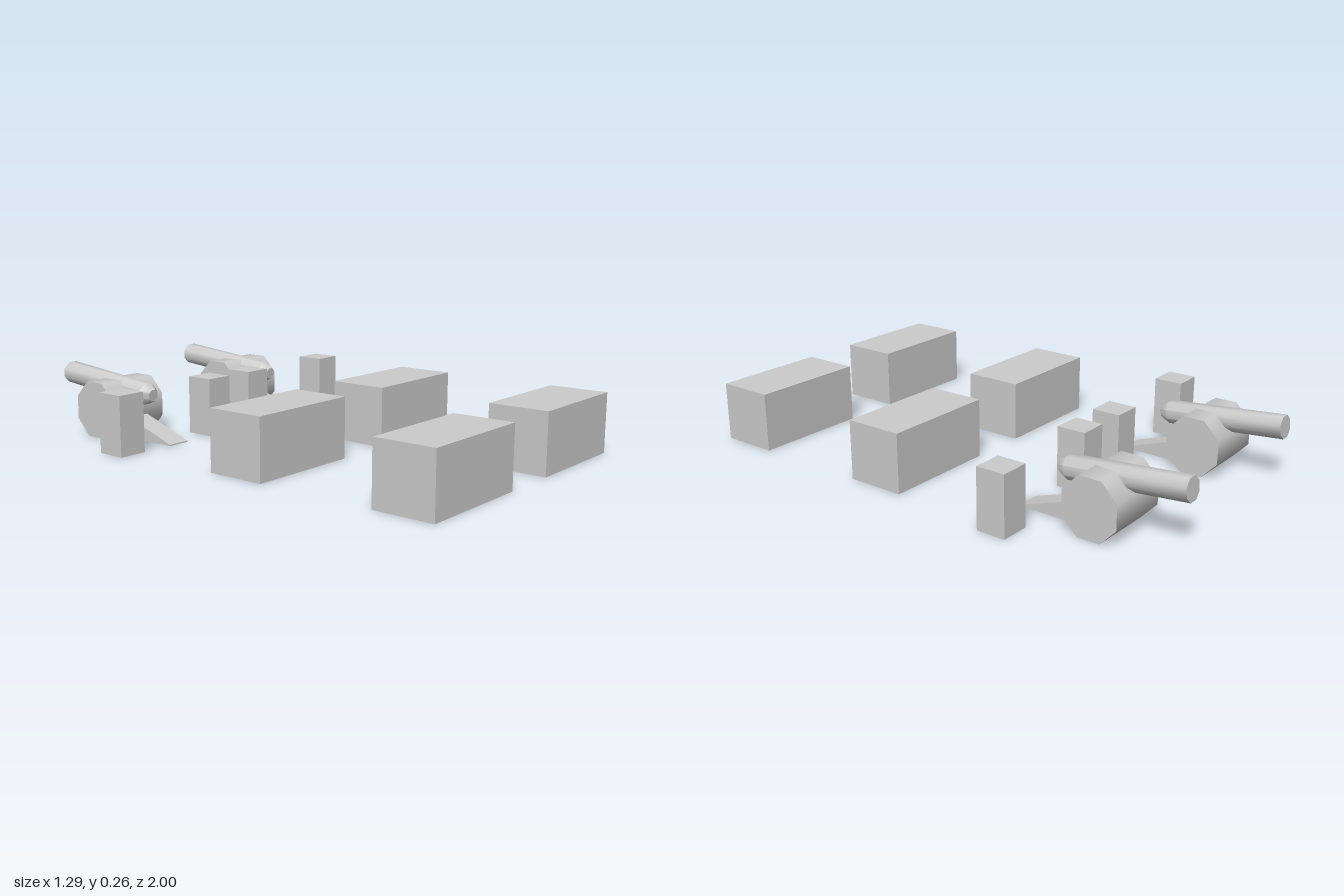
import * as THREE from 'three';
import { toCreasedNormals } from 'three/addons/utils/BufferGeometryUtils.js';

const material = new THREE.MeshStandardMaterial({ color: 0xcccccc });

function part(name, geometry, parent, x = 0, y = 0, z = 0) {
  const mesh = new THREE.Mesh(geometry, material);
  mesh.name = name;
  mesh.position.set(x, y, z);
  parent.add(mesh);
  return mesh;
}

// One cannon, centred on x = 0, barrel pointing to the back
function createCannon() {
  const cannon = new THREE.Group();
  cannon.name = 'cannon';

  // Octagonal drum standing on a flat side
  const drum = new THREE.CylinderGeometry(0.118, 0.118, 0.265, 8, 1, false, Math.PI / 8);
  drum.rotateZ(Math.PI / 2);
  drum.scale(1, 0.1125 / 0.109, 0.108 / 0.109);
  part('drum', drum, cannon, 0, 0.1125, -0.691);

  // Eight-sided barrel with a tapered breech
  const profile = [[0, 0], [0.025, 0], [0.046, 0.035], [0.046, 0.508], [0, 0.508]]
    .map(([r, y]) => new THREE.Vector2(r, y));
  const barrel = toCreasedNormals(new THREE.LatheGeometry(profile, 8, Math.PI / 8), 0.9);
  part('barrel', barrel, cannon, 0, 0.177, -0.49).rotation.x = -Math.PI / 2 + 0.088;

  // Wedge-shaped trail sloping down to the ground
  const wedge = new THREE.Shape([
    new THREE.Vector2(0.35, 0), new THREE.Vector2(0.69, 0),
    new THREE.Vector2(0.69, 0.12), new THREE.Vector2(0.35, 0.005),
  ]);
  const trail = new THREE.ExtrudeGeometry(wedge, { depth: 0.095, bevelEnabled: false });
  trail.rotateY(Math.PI / 2);
  part('trail', trail, cannon, -0.0475, 0, 0);
  return cannon;
}

export function createModel() {
  const model = new THREE.Group();
  model.name = 'cannonBattery';
  const h = 0.235;

  for (const side of [-1, 1]) {
    const cx = side * 0.351;

    // Long blocks in two rows
    for (const z of [0.178, 0.8825]) {
      part('longBlock', new THREE.BoxGeometry(0.468, h, h), model, cx, h / 2, z);
    }

    // Small posts flanking the cannon
    for (const dx of [-0.235, 0.235]) {
      part('post', new THREE.BoxGeometry(0.117, h, 0.117), model, cx + dx, h / 2, -0.409);
    }

    const cannon = createCannon();
    cannon.position.x = cx;
    model.add(cannon);
  }
  return model;
}
